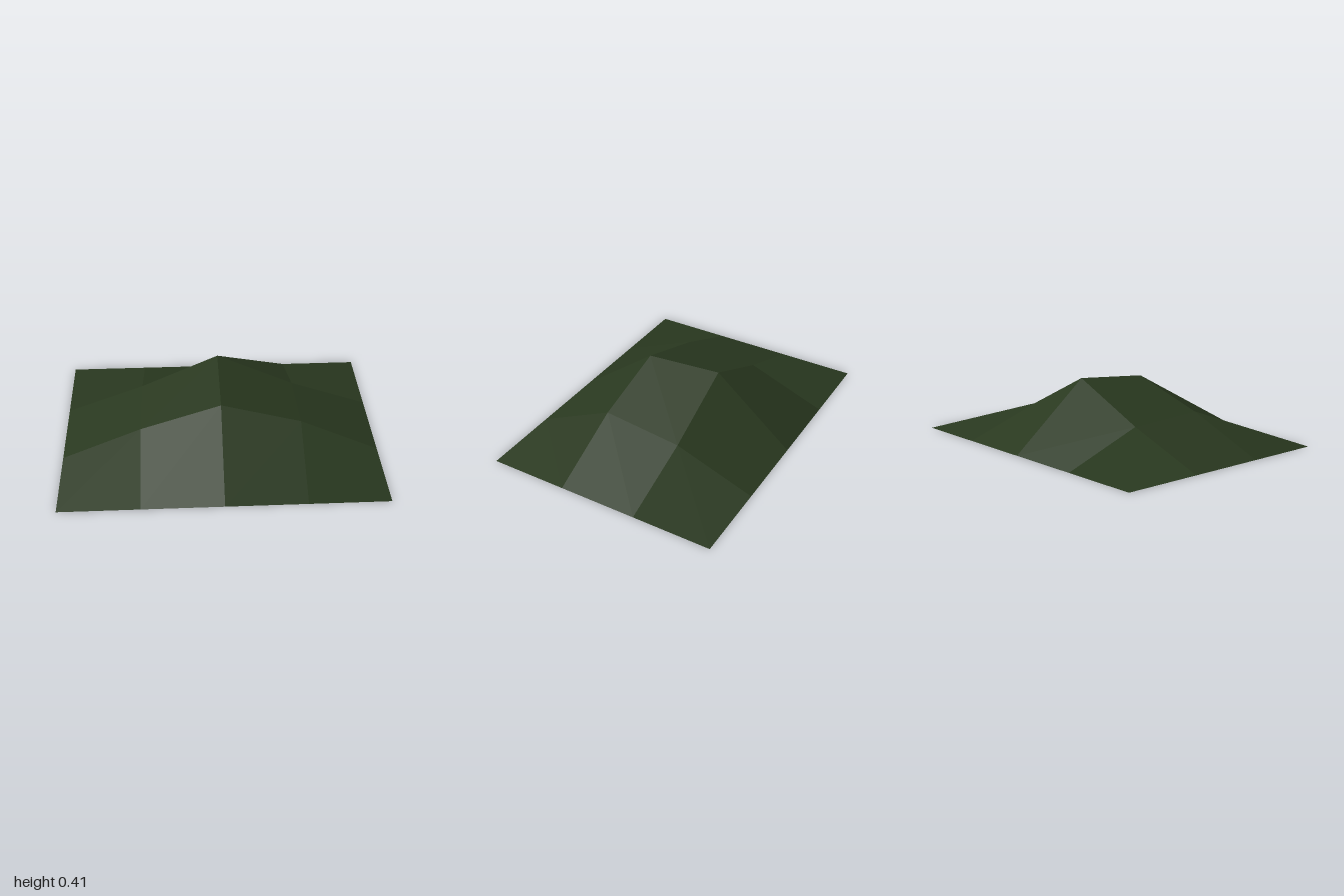
import * as THREE from 'three';

// A low, faceted hill: a coarse height grid with one flat normal per cell.
export function createModel() {
  const group = new THREE.Group();
  group.name = 'hill';

  const xs = [-1, -0.5, 0, 0.5, 1];
  const zs = [-0.75, -0.25, 0.25, 0.75];
  const heights = [
    [0, 0, 0, 0, 0],
    [0, 0.188, 0.415, 0.18, 0],
    [0, 0.213, 0.378, 0.238, 0],
    [0, 0, 0, 0, 0],
  ];
  const point = (i, j) => new THREE.Vector3(xs[i], heights[j][i], zs[j]);

  const positions = [];
  const normals = [];
  for (let j = 0; j < zs.length - 1; j++) {
    for (let i = 0; i < xs.length - 1; i++) {
      const a = point(i, j);
      const b = point(i, j + 1);
      const c = point(i + 1, j + 1);
      const d = point(i + 1, j);
      const normal = c.clone().sub(a).cross(d.clone().sub(b)).normalize();
      // Every cell is split along the same diagonal
      for (const p of [a, b, d, b, c, d]) {
        positions.push(p.x, p.y, p.z);
        normals.push(normal.x, normal.y, normal.z);
      }
    }
  }

  const geometry = new THREE.BufferGeometry();
  geometry.setAttribute('position', new THREE.Float32BufferAttribute(positions, 3));
  geometry.setAttribute('normal', new THREE.Float32BufferAttribute(normals, 3));

  // Open underneath, so both sides show
  const grass = new THREE.MeshStandardMaterial({ color: 0x29381f, side: THREE.DoubleSide });
  grass.name = 'dark grass green';

  const slope = new THREE.Mesh(geometry, grass);
  slope.name = 'hillSurface';
  group.add(slope);
  return group;
}
